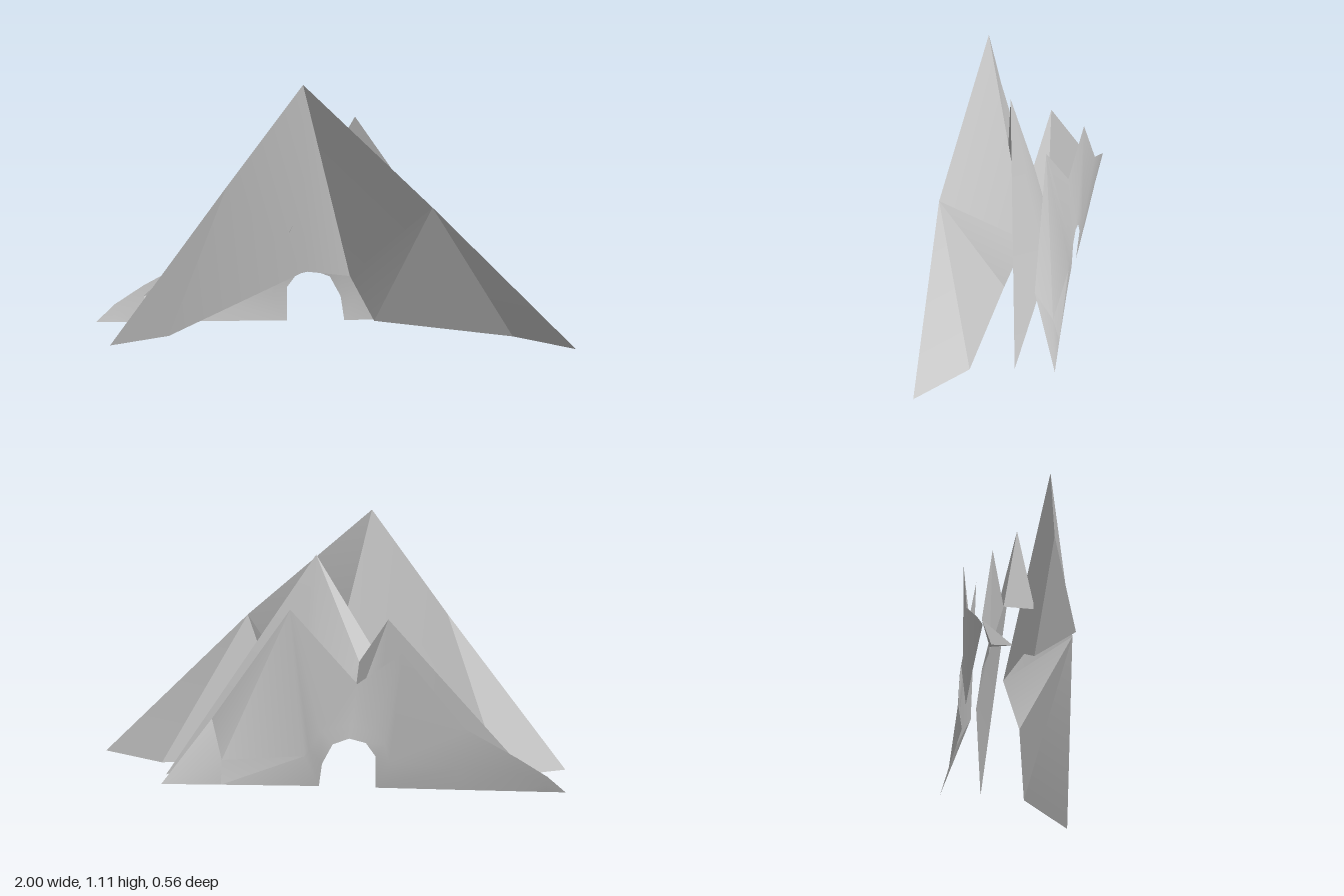
import * as THREE from 'three';
import { toCreasedNormals } from 'three/addons/utils/BufferGeometryUtils.js';

const material = new THREE.MeshStandardMaterial({ color: 0xcccccc, side: THREE.DoubleSide });

// Folded sheet: consecutive columns of points (listed from +x to -x, top to bottom) are
// joined by quads; repeated points close a quad to a triangle. Extra triangles may be added.
function foldedSheet(name, columns, extra = []) {
  const positions = [];
  const triangle = (...corners) => {
    const [a, b, c] = corners.map((p) => new THREE.Vector3(...p));
    const area = b.clone().sub(a).cross(c.clone().sub(a)).length();
    if (area > 1e-7) positions.push(...a, ...b, ...c);
  };
  for (let i = 0; i < columns.length - 1; i++) {
    const right = columns[i], left = columns[i + 1];
    for (let j = 0; j < right.length - 1; j++) {
      triangle(right[j], left[j], right[j + 1]);
      triangle(left[j], left[j + 1], right[j + 1]);
    }
  }
  extra.forEach((t) => triangle(...t));
  const geometry = new THREE.BufferGeometry();
  geometry.setAttribute('position', new THREE.Float32BufferAttribute(positions, 3));
  const mesh = new THREE.Mesh(toCreasedNormals(geometry, 0.35), material);
  mesh.name = name;
  return mesh;
}

// Tall front peak with a wide opening at its foot
function frontMountain() {
  const tip = [1, 0, 0.275], shoulder = [0.4, 0.61, 0.255];
  const peak = [-0.14, 1.11, 0.125], leftShoulder = [-0.46, 0.67, 0.12], leftTip = [-0.95, 0, 0.175];
  const crown = [-0.13, 0.275, 0.015], leftFoot = [-0.7, 0, 0.018];
  return foldedSheet('frontMountain', [
    [tip, [0.74, 0.005, 0.075]],
    [shoulder, [0.74, 0.005, 0.075]],
    [shoulder, [0.16, 0.06, 0.015]],
    [shoulder, [0.06, 0.235, -0.06]],
    [peak, [0.06, 0.235, -0.06]],
    [peak, crown],
    [leftShoulder, crown],
    [leftShoulder, leftFoot],
    [leftTip, leftFoot],
  ]);
}

// Middle sheet: two peaks with a fold pushed forward between them
function middleMountain() {
  const tip = [0.7, 0, -0.11], peak = [0.08, 0.94, 0], fold = [-0.2, 0.45, 0.055];
  const saddle = [-0.11, 0.5, -0.07], lowPeak = [-0.24, 0.7, -0.125];
  const leftTip = [-0.8, 0.115, -0.21];
  return foldedSheet('middleMountain', [
    [tip, tip],
    [peak, [0.18, 0.16, -0.165]],
    [peak, [0.05, 0.28, -0.15]],
    [saddle, [-0.09, 0.29, -0.13]],
    [lowPeak, [-0.2, 0.27, -0.135]],
    [leftTip, [-0.8, 0, -0.08]],
    [leftTip, [-0.8, 0, -0.17]],
  ], [[peak, fold, saddle]]);
}

// Back sheet: two peaks, a sloping foot and a rounded doorway
function backMountain() {
  const tip = [0.7, 0, -0.28], shoulder = [0.5, 0.26, -0.165], peak = [0.17, 0.74, -0.165];
  const valley = [-0.12, 0.44, -0.215], lowPeak = [-0.315, 0.585, -0.252];
  const leftTip = [-1, 0, -0.22];
  return foldedSheet('backMountain', [
    [tip, tip, tip],
    [shoulder, [0.45, 0.1, -0.235], [0.45, 0, -0.262]],
    [peak, [0.1, 0.13, -0.248], [0.04, 0, -0.235]],
    // Doorway edge
    [peak, [0.08, 0.16, -0.247], [0.025, 0.1, -0.25]],
    [peak, [0.03, 0.24, -0.245], [-0.02, 0.185, -0.25]],
    [valley, [-0.1, 0.27, -0.24], [-0.09, 0.212, -0.25]],
    [valley, [-0.18, 0.24, -0.245], [-0.16, 0.195, -0.25]],
    [lowPeak, [-0.24, 0.19, -0.25], [-0.2, 0.14, -0.25]],
    [lowPeak, [-0.26, 0.11, -0.25], [-0.2, 0, -0.235]],
    // Left slope
    [[-0.58, 0.27, -0.258], [-0.56, 0.1, -0.248], [-0.56, 0, -0.23]],
    [[-0.8, 0.15, -0.255], [-0.8, 0.08, -0.24], [-0.8, 0, -0.225]],
    [[-0.925, 0.07, -0.24], [-0.92, 0.035, -0.232], [-0.92, 0, -0.222]],
    [leftTip, leftTip, leftTip],
  ]);
}

export function createModel() {
  const model = new THREE.Group();
  model.name = 'mountainRange';
  model.add(frontMountain(), middleMountain(), backMountain());
  return model;
}
